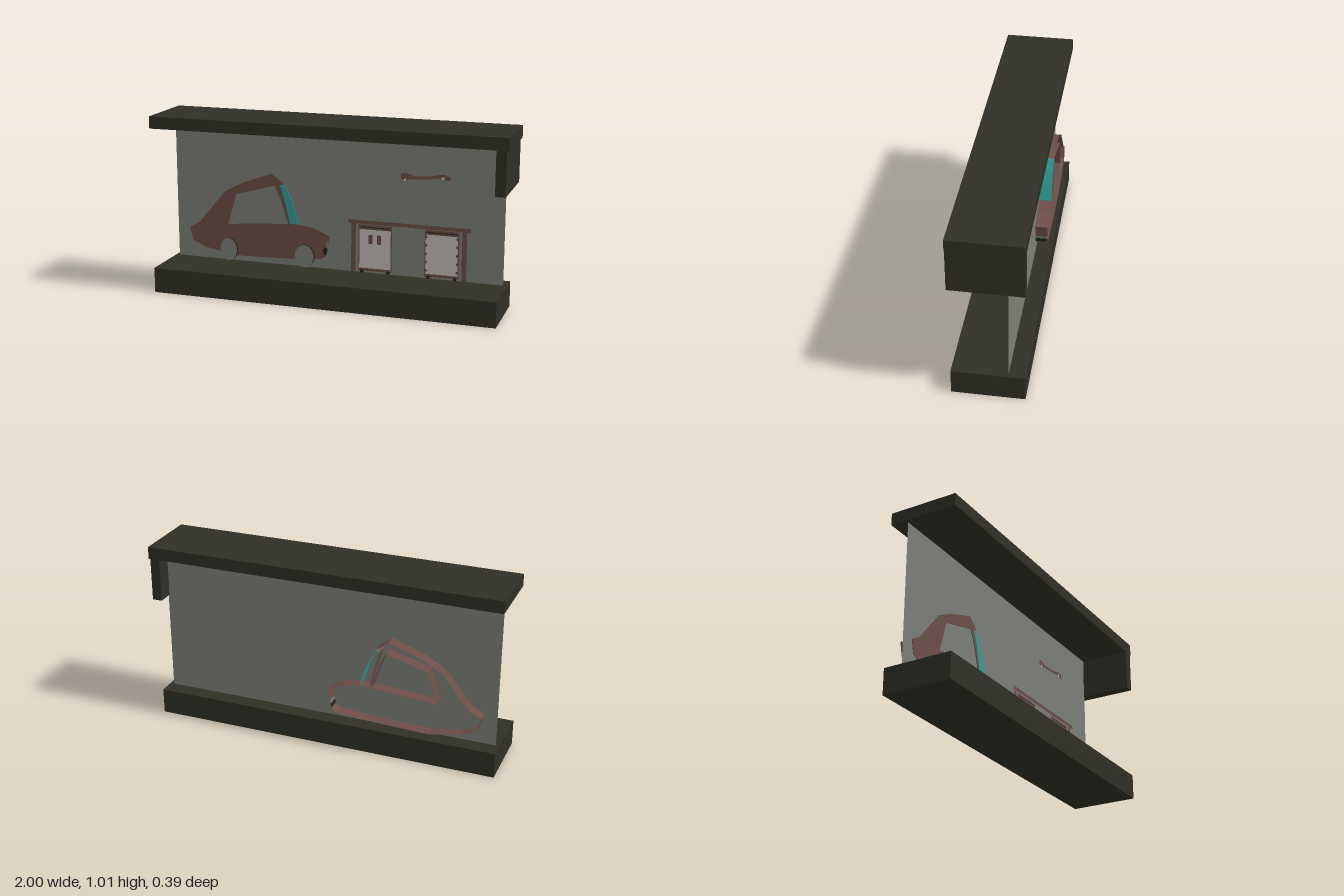
import * as THREE from 'three';

const mat = (name, color, side = THREE.FrontSide) => {
  const m = new THREE.MeshStandardMaterial({ color, side });
  m.name = name;
  return m;
};

export function createModel() {
  const dark = mat('dark olive', 0x2f2f25);
  const grey = mat('wall grey', 0x7b7e77, THREE.DoubleSide);
  const brown = mat('red brown', 0x6c4d46, THREE.DoubleSide);
  const teal = mat('teal glass', 0x309d97, THREE.DoubleSide);
  const pale = mat('pale cabinet', 0xc2bcba);
  const black = mat('near black', 0x25251d, THREE.DoubleSide);

  const model = new THREE.Group();
  model.name = 'garage';
  const WALL = -0.103, FACE = -0.099, BACK = -0.171;

  const group = (name, parent = model) => {
    const g = new THREE.Group();
    g.name = name;
    parent.add(g);
    return g;
  };
  const add = (name, geo, material, parent = model) => {
    const m = new THREE.Mesh(geo, material);
    m.name = name;
    parent.add(m);
    return m;
  };
  const vecs = (pts) => pts.map(([x, y]) => new THREE.Vector2(x, y));

  // Block between two corners in x and y, full depth
  const block = (name, x0, x1, y0, y1) => {
    const b = add(name, new THREE.BoxGeometry(x1 - x0, y1 - y0, 0.386), dark);
    b.position.set((x0 + x1) / 2, (y0 + y1) / 2, 0);
  };
  // Flat cut-out facing the front
  const plate = (name, pts, z, material, parent, hole) => {
    const s = new THREE.Shape(vecs(pts));
    if (hole) s.holes.push(new THREE.Path(vecs(hole)));
    add(name, new THREE.ShapeGeometry(s), material, parent).position.z = z;
  };
  const rect = (name, x0, x1, y0, y1, z, material, parent) =>
    plate(name, [[x0, y0], [x1, y0], [x1, y1], [x0, y1]], z, material, parent);
  // Open band running back from a line of points
  const band = (name, pts, material, parent, closed = false) => {
    const pos = [];
    const n = closed ? pts.length : pts.length - 1;
    for (let i = 0; i < n; i++) {
      const [ax, ay] = pts[i], [bx, by] = pts[(i + 1) % pts.length];
      pos.push(ax, ay, FACE, ax, ay, BACK, bx, by, FACE);
      pos.push(bx, by, FACE, ax, ay, BACK, bx, by, BACK);
    }
    const g = new THREE.BufferGeometry();
    g.setAttribute('position', new THREE.Float32BufferAttribute(pos, 3));
    g.computeVertexNormals();
    add(name, g, material, parent);
  };

  // Building shell
  block('floor', -1, 0.962, 0, 0.143);
  block('roof', -1, 1, 0.945, 1.013);
  block('doorHeader', 0.935, 0.99, 0.704, 0.945);
  rect('backWall', -0.98, 0.94, 0.143, 0.945, WALL, grey, model);

  // Car: front face with a window opening, and bands behind the edges
  const car = group('car');
  const light = [[-0.062, 0.262], [-0.064, 0.245]];
  const bumper = [[-0.064, 0.245], [-0.07, 0.22]];
  const outline = [
    [-0.07, 0.22], [-0.085, 0.204], [-0.107, 0.197], [-0.26, 0.184], [-0.45, 0.176],
    [-0.63, 0.172], [-0.805, 0.206], [-0.89, 0.243], [-0.906, 0.318], [-0.842, 0.356],
    [-0.682, 0.548], [-0.57, 0.607], [-0.393, 0.671], [-0.321, 0.618], [-0.345, 0.607],
    [-0.313, 0.505], [-0.286, 0.387], [-0.233, 0.388], [-0.136, 0.372], [-0.051, 0.334],
    [-0.056, 0.302], [-0.062, 0.262],
  ];
  const windowEdge = [[-0.666, 0.356], [-0.612, 0.537], [-0.377, 0.602], [-0.345, 0.535],
    [-0.297, 0.386], [-0.47, 0.374]];
  const glass = [[-0.345, 0.607], [-0.319, 0.612], [-0.286, 0.548], [-0.26, 0.479],
    [-0.233, 0.388], [-0.286, 0.386], [-0.313, 0.505]];
  plate('carBody', [...outline, light[1]], FACE, brown, car, windowEdge);
  band('bodyRim', outline, brown, car);
  band('windowRim', windowEdge, brown, car, true);
  plate('windshield', glass, FACE, teal, car);
  band('windshieldRim', glass.slice(0, 5), teal, car);
  band('headlightRim', light, grey, car);
  band('bumperRim', bumper, black, car);
  plate('headlight', [[-0.074, 0.268], [-0.065, 0.312], [-0.057, 0.306], [-0.062, 0.262]],
    FACE + 0.002, grey, car);
  plate('bumper', [[-0.088, 0.248], [-0.078, 0.272], [-0.062, 0.264], [-0.064, 0.245],
    [-0.07, 0.222], [-0.084, 0.225]], FACE + 0.003, black, car);

  // Oval wheels: dark tread and grey disc
  for (const [name, x, rx] of [['rearWheel', -0.658, 0.051], ['frontWheel', -0.195, 0.055]]) {
    const wheel = add(name, new THREE.CylinderGeometry(1, 1, 0.02, 32).rotateX(Math.PI / 2),
      [black, grey, black], car);
    wheel.scale.set(rx, 0.066, 1);
    wheel.position.set(x, 0.21, -0.09);
  }

  // Workbench
  const bench = group('workbench');
  rect('benchTop', 0.062, 0.757, 0.424, 0.445, FACE + 0.003, brown, bench);
  rect('leftLeg', 0.078, 0.104, 0.143, 0.424, FACE, brown, bench);
  rect('rightLeg', 0.709, 0.735, 0.143, 0.424, FACE, brown, bench);

  // Two cabinets under the bench
  for (const [name, x] of [['handleCabinet', 0.12], ['scallopedCabinet', 0.5]]) {
    const c = group(name, bench);
    rect('frame', x, x + 0.193, 0.154, 0.42, FACE, brown, c);
    rect('door', x + 0.006, x + 0.187, 0.17, 0.394, FACE + 0.002, pale, c);
    rect('drawerLine', x + 0.012, x + 0.181, 0.404, 0.409, FACE + 0.002, black, c);
    for (const fx of [x + 0.012, x + 0.163])
      rect('foot', fx, fx + 0.018, 0.143, 0.16, FACE + 0.002, black, c);
    if (name === 'handleCabinet') {
      for (const hx of [x + 0.059, x + 0.109])
        rect('handle', hx, hx + 0.023, 0.312, 0.365, FACE + 0.004, brown, c);
    } else {
      for (let i = 0; i < 5; i++)
        for (const sx of [x + 0.008, x + 0.185])
          add('scallop', new THREE.CircleGeometry(0.008, 10), brown, c)
            .position.set(sx, 0.19 + i * 0.048, FACE + 0.004);
    }
  }

  // Axe hung on the wall
  const axe = group('axe');
  plate('axeHandle', [[0.356, 0.725], [0.393, 0.73], [0.436, 0.714], [0.516, 0.719],
    [0.596, 0.735], [0.634, 0.725], [0.639, 0.703], [0.618, 0.703], [0.586, 0.714],
    [0.516, 0.703], [0.436, 0.698], [0.361, 0.693]], FACE, brown, axe);
  plate('axeBlade', [[0.324, 0.735], [0.35, 0.741], [0.361, 0.725], [0.364, 0.676],
    [0.377, 0.65], [0.35, 0.642], [0.324, 0.644], [0.338, 0.682]], FACE + 0.002, grey, axe);
  for (const [x, y] of [[0.384, 0.692], [0.596, 0.712]])
    rect('wallPeg', x - 0.006, x + 0.006, y - 0.007, y + 0.007, FACE + 0.002, pale, axe);

  return model;
}
